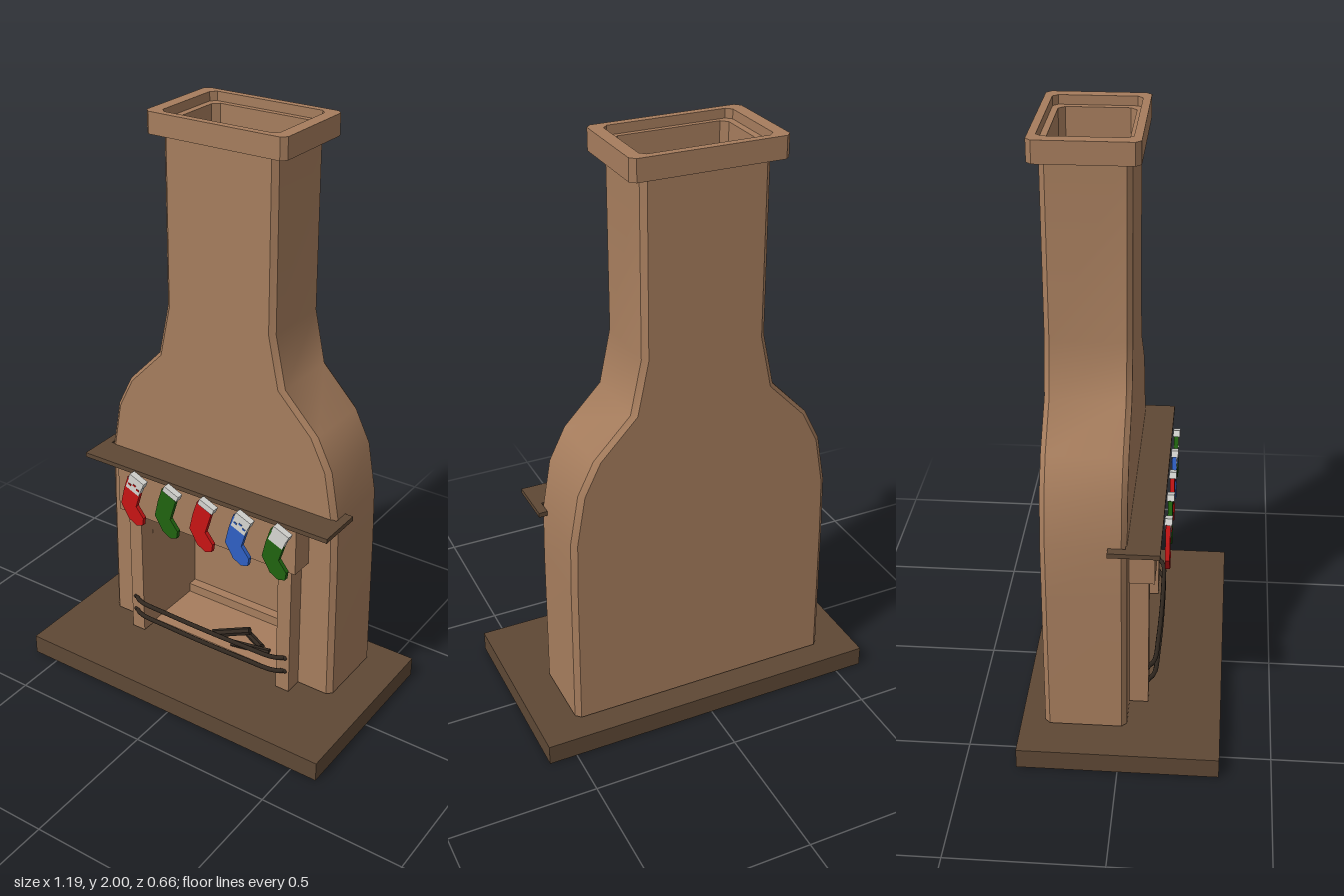
import * as THREE from 'three';
import { toCreasedNormals } from 'three/addons/utils/BufferGeometryUtils.js';

const mat = (name, color, side = THREE.FrontSide) => {
  const m = new THREE.MeshStandardMaterial({ color, side });
  m.name = name;
  return m;
};

export function createModel() {
  const root = new THREE.Group();
  const clay = mat('clay', 0xa67d5d, THREE.DoubleSide);
  const wood = mat('darkWood', 0x5e4835);
  const iron = mat('charredIron', 0x30271f);
  const red = mat('red', 0xc81414);
  const green = mat('green', 0x20640f);
  const blue = mat('blue', 0x2f60c4);
  const white = mat('white', 0xd6d6d2);

  const add = (name, geo, material, x = 0, y = 0, z = 0, parent = root) => {
    const mesh = new THREE.Mesh(geo, material);
    mesh.name = name;
    mesh.position.set(x, y, z);
    parent.add(mesh);
    return mesh;
  };
  // box given by its min and max corners
  const box = (name, material, x0, x1, y0, y1, z0, z1) =>
    add(name, new THREE.BoxGeometry(x1 - x0, y1 - y0, z1 - z0), material,
      (x0 + x1) / 2, (y0 + y1) / 2, (z0 + z1) / 2);

  // chamfered rectangle in x and z, starting with the two sides of the opening
  const ring = (w, zb, zf, c, o) => [
    [-o, zf], [o, zf], [w - c, zf], [w, zf - c], [w, zb + c], [w - c, zb],
    [c - w, zb], [-w, zb + c], [-w, zf - c], [c - w, zf]];

  // skin through stacked rings; the lowest front panel may stay open
  const loft = (sections, zb, zf, c, open) => {
    const pos = [], index = [], n = 10;
    for (const [y, w] of sections) {
      for (const [x, z] of ring(w, zb, zf, c, w * 0.613)) pos.push(x, y, z);
    }
    for (let s = 0; s < sections.length - 1; s++) {
      for (let i = 0; i < n; i++) {
        if (open && s === 0 && i === 0) continue;
        const a = s * n + i, b = s * n + (i + 1) % n;
        index.push(a, b, b + n, a, b + n, a + n);
      }
    }
    const g = new THREE.BufferGeometry();
    g.setAttribute('position', new THREE.Float32BufferAttribute(pos, 3));
    g.setIndex(index);
    return toCreasedNormals(g, 0.6);
  };

  // flat shape drawn in x and z, thickened upwards
  const slab = (points, height, hole) => {
    const v = (list) => list.map(([x, z]) => new THREE.Vector2(x, -z));
    const shape = new THREE.Shape(v(points));
    if (hole) shape.holes.push(new THREE.Path(v(hole)));
    return new THREE.ExtrudeGeometry(shape, { depth: height, bevelEnabled: false }).rotateX(-Math.PI / 2);
  };

  box('basePlinth', wood, -0.595, 0.595, 0, 0.07, -0.33, 0.33);

  // hood and chimney
  const profile = [[0.08, 0.465], [0.58, 0.46], [0.77, 0.455], [0.94, 0.425], [1.05, 0.37],
    [1.18, 0.245], [1.36, 0.207], [1.94, 0.207]];
  add('chimneyBody', loft(profile, -0.25, 0.022, 0.017, true), clay);
  add('flue', loft([[1.0, 0.187], [1.95, 0.187]], -0.235, 0.008, 0.02, false), clay);
  box('flueFloor', clay, -0.187, 0.187, 0.99, 1.0, -0.235, 0.008);

  // cap with a stepped mouth
  const capOuter = ring(0.252, -0.28, 0.05, 0.017, 0.1);
  add('capLower', slab(capOuter, 0.04, ring(0.187, -0.235, 0.008, 0.02, 0.1)), clay, 0, 1.93, 0);
  add('capUpper', slab(capOuter, 0.03, ring(0.21, -0.255, 0.025, 0.017, 0.1)), clay, 0, 1.97, 0);

  // firebox lining
  box('fireboxFloor', clay, -0.45, 0.45, 0.08, 0.085, -0.24, 0.015);
  box('fireboxBack', clay, -0.29, 0.29, 0.085, 0.6, -0.245, -0.235);
  box('fireboxCeiling', clay, -0.29, 0.29, 0.585, 0.6, -0.24, 0.02);
  box('fireboxLedge', clay, -0.285, 0.285, 0.085, 0.12, -0.235, -0.2);
  for (const s of [-1, 1]) {
    const wall = box('fireboxSide', clay, 0.285, 0.3, 0.085, 0.6, -0.24, 0.02);
    wall.position.x *= s;
    const column = box('column', clay, 0.283, 0.335, 0.08, 0.585, 0.01, 0.085);
    column.position.x *= s;
  }
  box('lintel', clay, -0.36, 0.36, 0.583, 0.765, 0.015, 0.105);

  // mantel shelf wrapping round the hood
  add('mantelShelf', slab([[-0.485, 0.127], [0.485, 0.127], [0.485, -0.037], [0.456, -0.037],
    [0.456, 0.018], [-0.456, 0.018], [-0.456, -0.037], [-0.485, -0.037]], 0.016), wood, 0, 0.762, 0);

  // guard rails
  for (const y of [0.16, 0.215]) {
    const path = new THREE.CatmullRomCurve3([[-0.318, 0.08], [-0.29, 0.1], [-0.15, 0.109],
      [0.15, 0.109], [0.29, 0.1], [0.318, 0.08]].map(([x, z]) => new THREE.Vector3(x, y, z)));
    add('guardRail', new THREE.TubeGeometry(path, 24, 0.008, 8), iron);
    for (const s of [-1, 1]) add('railEnd', new THREE.SphereGeometry(0.009, 8, 6), iron, s * 0.318, y, 0.083);
  }

  // logs
  const log = (from, to, r) => {
    const a = new THREE.Vector3(...from), b = new THREE.Vector3(...to);
    const dir = b.clone().sub(a);
    const g = new THREE.CylinderGeometry(r, r, dir.length(), 7).toNonIndexed();
    g.computeVertexNormals();
    const mesh = add('log', g, iron);
    mesh.position.copy(a).add(b).multiplyScalar(0.5);
    mesh.quaternion.setFromUnitVectors(new THREE.Vector3(0, 1, 0), dir.normalize());
  };
  log([-0.06, 0.087, -0.03], [0.075, 0.13, -0.07], 0.015);
  log([0.03, 0.087, -0.02], [0.17, 0.087, -0.05], 0.015);
  log([0.03, 0.087, -0.11], [0.13, 0.087, -0.06], 0.014);

  // stockings, each drawn around its own centre line
  const sock = new THREE.Shape([[-0.022, 0.76], [-0.04, 0.705], [-0.054, 0.645], [-0.022, 0.592],
    [0.01, 0.575], [0.036, 0.583], [0.04, 0.612], [0.01, 0.65], [0.034, 0.728]]
    .map(([x, y]) => new THREE.Vector2(x, y)));
  const sockGeo = new THREE.ExtrudeGeometry(sock, { depth: 0.015, bevelEnabled: false });
  const kinds = [[red, 0.05, red], [green, 0.02], [red, 0.02], [blue, 0.05, blue], [green, 0.05]];
  kinds.forEach(([colour, length, trim], i) => {
    const g = new THREE.Group();
    g.name = 'stocking';
    g.position.set(-0.263 + i * 0.144, 0, 0);
    root.add(g);
    add('stockingSock', sockGeo, colour, 0, 0, 0.134, g);
    const cuff = new THREE.Group();
    cuff.name = 'cuff';
    cuff.position.set(0.016, 0.754, 0.142);
    cuff.rotation.z = -0.4;
    g.add(cuff);
    add('cuffBand', new THREE.BoxGeometry(0.062, 0.022, 0.024), white, 0, 0, 0, cuff);
    if (length > 0.03) {
      add('cuffLeg', new THREE.BoxGeometry(0.058, length, 0.018), white, 0, -length / 2, 0, cuff);
      if (trim) {
        for (const k of [-1, 0, 1]) {
          add('cuffTrim', new THREE.BoxGeometry(0.012, 0.006, 0.022), trim, k * 0.018, -0.022 - (k & 1) * 0.008, 0, cuff);
        }
      }
    }
  });
  return root;
}
